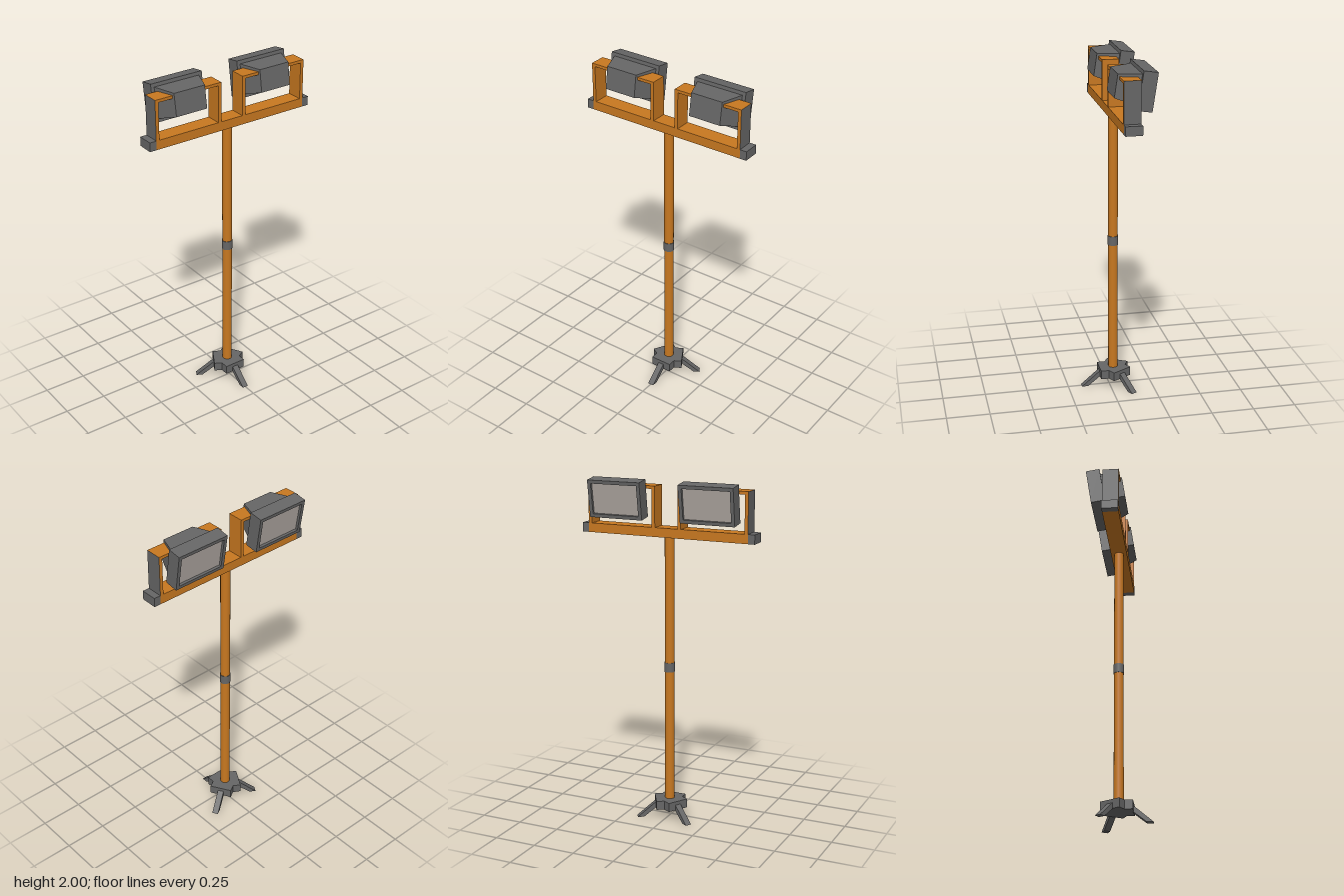
import * as THREE from 'three';

const orange = new THREE.MeshStandardMaterial({ color: 0xc87820, flatShading: true });
const orangeRound = new THREE.MeshStandardMaterial({ color: 0xc87820 });
const grey = new THREE.MeshStandardMaterial({ color: 0x666666, flatShading: true });
const greyRound = new THREE.MeshStandardMaterial({ color: 0x666666 });
const lensMat = new THREE.MeshStandardMaterial({ color: 0xb0a8a2, flatShading: true });

const AXIS_Z = -0.023; // the mast stands slightly behind the origin

function add(parent, name, geometry, material, x = 0, y = 0, z = 0) {
  const mesh = new THREE.Mesh(geometry, material);
  mesh.name = name;
  mesh.position.set(x, y, z);
  parent.add(mesh);
  return mesh;
}

// Box given by its limits on x and y, with a depth centred on z
function slab(parent, name, material, x0, x1, y0, y1, depth, z = AXIS_Z) {
  const geo = new THREE.BoxGeometry(Math.abs(x1 - x0), y1 - y0, depth);
  return add(parent, name, geo, material, (x0 + x1) / 2, (y0 + y1) / 2, z);
}

function rectangle(Type, w, h) {
  const p = new Type();
  p.moveTo(-w / 2, -h / 2);
  p.lineTo(w / 2, -h / 2);
  p.lineTo(w / 2, h / 2);
  p.lineTo(-w / 2, h / 2);
  p.closePath();
  return p;
}

// Floodlight shining backwards (local -z) with a tapered housing in front
function createLamp() {
  const lamp = new THREE.Group();
  lamp.name = 'floodlight';

  const rim = rectangle(THREE.Shape, 0.325, 0.215);
  rim.holes.push(rectangle(THREE.Path, 0.285, 0.175));
  const rimGeo = new THREE.ExtrudeGeometry(rim, { depth: 0.08, bevelEnabled: false });
  add(lamp, 'lampFrame', rimGeo, grey, 0, 0, -0.04);
  add(lamp, 'lens', new THREE.BoxGeometry(0.285, 0.175, 0.06), lensMat, 0, 0, 0.005);

  const housing = new THREE.BoxGeometry(0.285, 0.175, 0.122);
  const pos = housing.attributes.position;
  for (let i = 0; i < pos.count; i++) {
    if (pos.getZ(i) > 0) {
      pos.setX(i, Math.sign(pos.getX(i)) * 0.0975);
      pos.setY(i, Math.sign(pos.getY(i)) * 0.065);
    }
  }
  housing.computeVertexNormals();
  add(lamp, 'lampHousing', housing, grey, 0, 0, 0.099);
  return lamp;
}

// Three-armed base with a splayed leg on each arm
function createBase() {
  const base = new THREE.Group();
  base.name = 'base';
  base.position.z = AXIS_Z;
  const profile = new THREE.Shape([
    new THREE.Vector2(0.192, 0), new THREE.Vector2(0.075, 0.1),
    new THREE.Vector2(0.055, 0.08), new THREE.Vector2(0.155, 0),
  ]);
  const legGeo = new THREE.ExtrudeGeometry(profile, { depth: 0.036, bevelEnabled: false });
  legGeo.translate(0, 0, -0.018);
  legGeo.rotateY(-Math.PI / 2); // profile now runs out along +z
  for (let i = 0; i < 3; i++) {
    const arm = new THREE.Group();
    arm.name = 'baseArm';
    arm.rotation.y = (i * Math.PI * 2) / 3;
    add(arm, 'hubBlock', new THREE.BoxGeometry(0.13, 0.053, 0.085), grey, 0, 0.087, 0.0415);
    add(arm, 'leg', legGeo, grey);
    base.add(arm);
  }
  return base;
}

export function createModel() {
  const model = new THREE.Group();
  model.name = 'floodlightMast';
  model.add(createBase());

  // Mast and its joint collar
  add(model, 'mast', new THREE.CylinderGeometry(0.028, 0.028, 1.62, 16), orangeRound, 0, 0.88, AXIS_Z);
  add(model, 'mastCollar', new THREE.CylinderGeometry(0.031, 0.031, 0.055, 16), greyRound, 0, 0.918, AXIS_Z);

  // Crossbar
  slab(model, 'crossbar', orange, -0.49, 0.49, 1.677, 1.73, 0.095);

  for (const s of [-1, 1]) {
    slab(model, 'crossbarEndCap', grey, s * 0.49, s * 0.53, 1.677, 1.73, 0.095);

    // Outer posts carry a grey outside face
    const faces = Array(6).fill(orange);
    faces[s > 0 ? 0 : 1] = grey;
    slab(model, 'outerPost', faces, s * 0.47, s * 0.49, 1.73, 1.945, 0.095);
    slab(model, 'innerPost', orange, s * 0.07, s * 0.09, 1.73, 1.945, 0.095);

    // Tabs reaching from the post tops to the lamp
    slab(model, 'outerTab', faces, s * 0.38, s * 0.49, 1.945, 1.962, 0.095);
    slab(model, 'innerTab', orange, s * 0.07, s * 0.18, 1.945, 1.962, 0.095);

    const lamp = createLamp();
    lamp.position.set(s * 0.279, 1.888, -0.117);
    lamp.rotation.x = -0.148;
    model.add(lamp);
  }
  return model;
}
